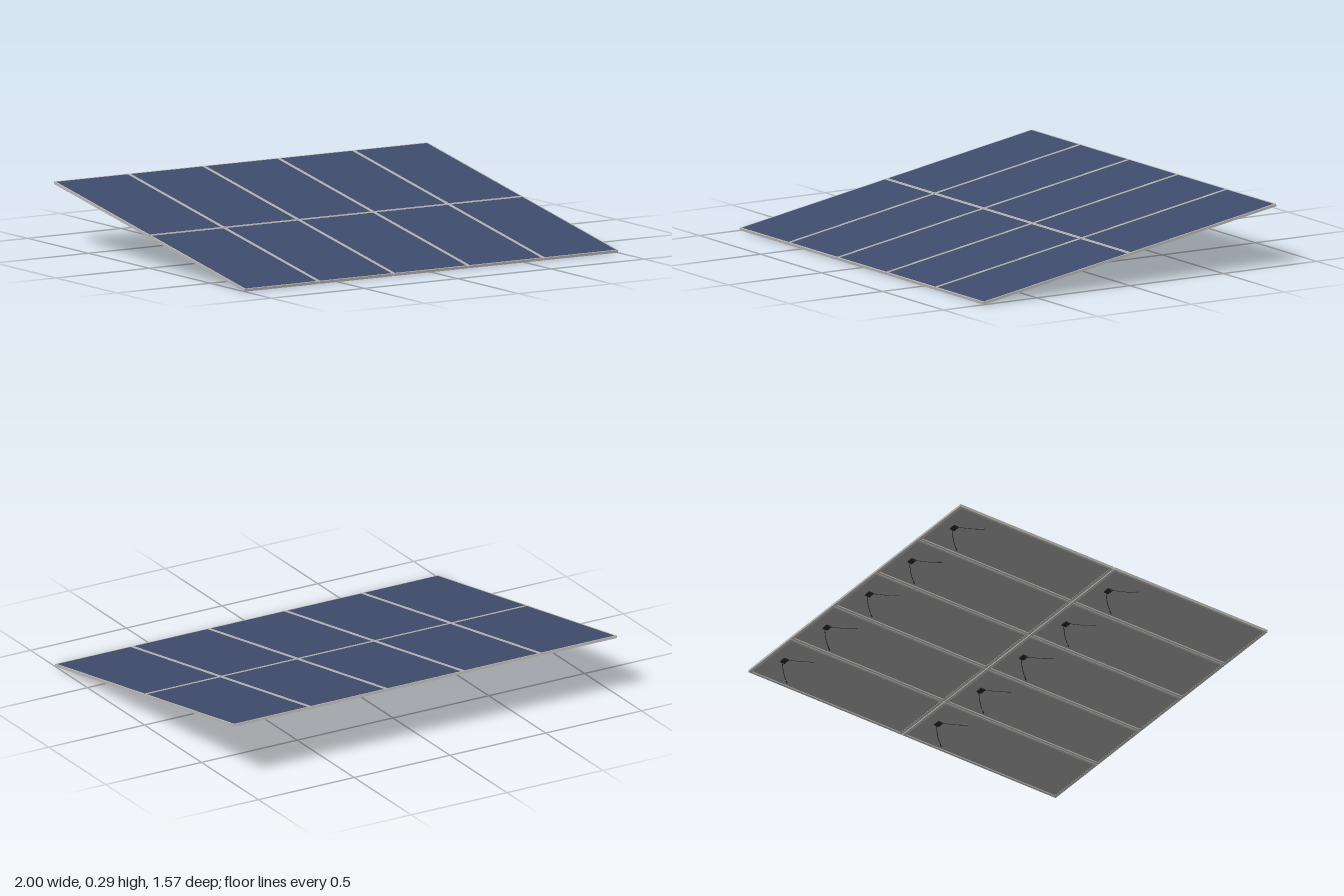
import * as THREE from 'three';

const COLS = 5, ROWS = 2;
const W = 0.397, L = 0.794, T = 0.012;      // panel width, length, thickness
const GAP = (2 - COLS * W) / (COLS - 1);
const TILT = THREE.MathUtils.degToRad(10);

const material = (name, color) => {
  const m = new THREE.MeshStandardMaterial({ color });
  m.name = name;
  return m;
};

function part(name, geometry, mat, x = 0, y = 0, z = 0) {
  const mesh = new THREE.Mesh(geometry, mat);
  mesh.name = name;
  mesh.position.set(x, y, z);
  return mesh;
}

// Flat rectangular ring lying in xz, from y = 0 up to y = depth
function ring(lip, depth) {
  const rect = (C, w, l) => new C().moveTo(-w, -l).lineTo(w, -l).lineTo(w, l).lineTo(-w, l).closePath();
  const shape = rect(THREE.Shape, W / 2, L / 2);
  shape.holes.push(rect(THREE.Path, W / 2 - lip, L / 2 - lip));
  return new THREE.ExtrudeGeometry(shape, { depth, bevelEnabled: false }).rotateX(-Math.PI / 2);
}

export function createModel() {
  const aluminium = material('aluminium', 0xb8b7b2);
  const glassBlue = material('glass blue', 0x3d4a6b);
  const backGrey = material('back sheet grey', 0x999999);
  const black = material('cable black', 0x222226);

  const frameGeo = ring(0.007, T);
  const flangeGeo = ring(0.013, 0.0012);
  const glassGeo = new THREE.BoxGeometry(W - 0.012, 0.0015, L - 0.012);
  const boxGeo = new THREE.BoxGeometry(0.04, 0.006, 0.024);

  // Hanging lead with a connector at its end, one for each side
  const leads = [-1, 1].map((s) => {
    const curve = new THREE.CatmullRomCurve3([
      new THREE.Vector3(s * 0.018, -0.005, 0),
      new THREE.Vector3(s * 0.045, -0.012, 0.018),
      new THREE.Vector3(s * 0.085, -0.022, 0.05),
      new THREE.Vector3(s * 0.13, -0.026, 0.09),
    ]);
    const plug = new THREE.CylinderGeometry(0.0025, 0.0025, 0.022, 8);
    plug.applyQuaternion(new THREE.Quaternion().setFromUnitVectors(
      new THREE.Vector3(0, 1, 0), curve.getTangent(1)));
    return { cable: new THREE.TubeGeometry(curve, 16, 0.0014, 6), plug, end: curve.getPoint(0.93) };
  });

  function createPanel() {
    const panel = new THREE.Group();
    panel.name = 'solarPanel';
    panel.add(
      part('frame', frameGeo, aluminium, 0, -T / 2, 0),
      part('frameFlange', flangeGeo, aluminium, 0, -T / 2 - 0.0001, 0),
      part('glass', glassGeo, glassBlue, 0, T / 2 - 0.0013, 0),
      part('backSheet', glassGeo, backGrey, 0, T / 2 - 0.0029, 0),
    );
    // Junction box under the high end
    const junction = new THREE.Group();
    junction.name = 'junction';
    junction.position.set(0, 0, -L / 2 + 0.078);
    junction.add(part('junctionBox', boxGeo, black, 0, -0.001, 0));
    for (const { cable, plug, end } of leads) {
      junction.add(part('cable', cable, black), part('connector', plug, black, end.x, end.y, end.z));
    }
    panel.add(junction);
    return panel;
  }

  // Tilted array, high at the back
  const array = new THREE.Group();
  array.name = 'panelArray';
  for (let r = 0; r < ROWS; r++) {
    for (let c = 0; c < COLS; c++) {
      const panel = createPanel();
      panel.position.set((c - (COLS - 1) / 2) * (W + GAP), 0, (r - (ROWS - 1) / 2) * (L + GAP));
      array.add(panel);
    }
  }
  const length = ROWS * L + (ROWS - 1) * GAP;
  array.rotation.x = TILT;
  array.position.y = (length / 2) * Math.sin(TILT) + (T / 2) * Math.cos(TILT);

  const model = new THREE.Group();
  model.name = 'solarArray';
  model.add(array);
  return model;
}
